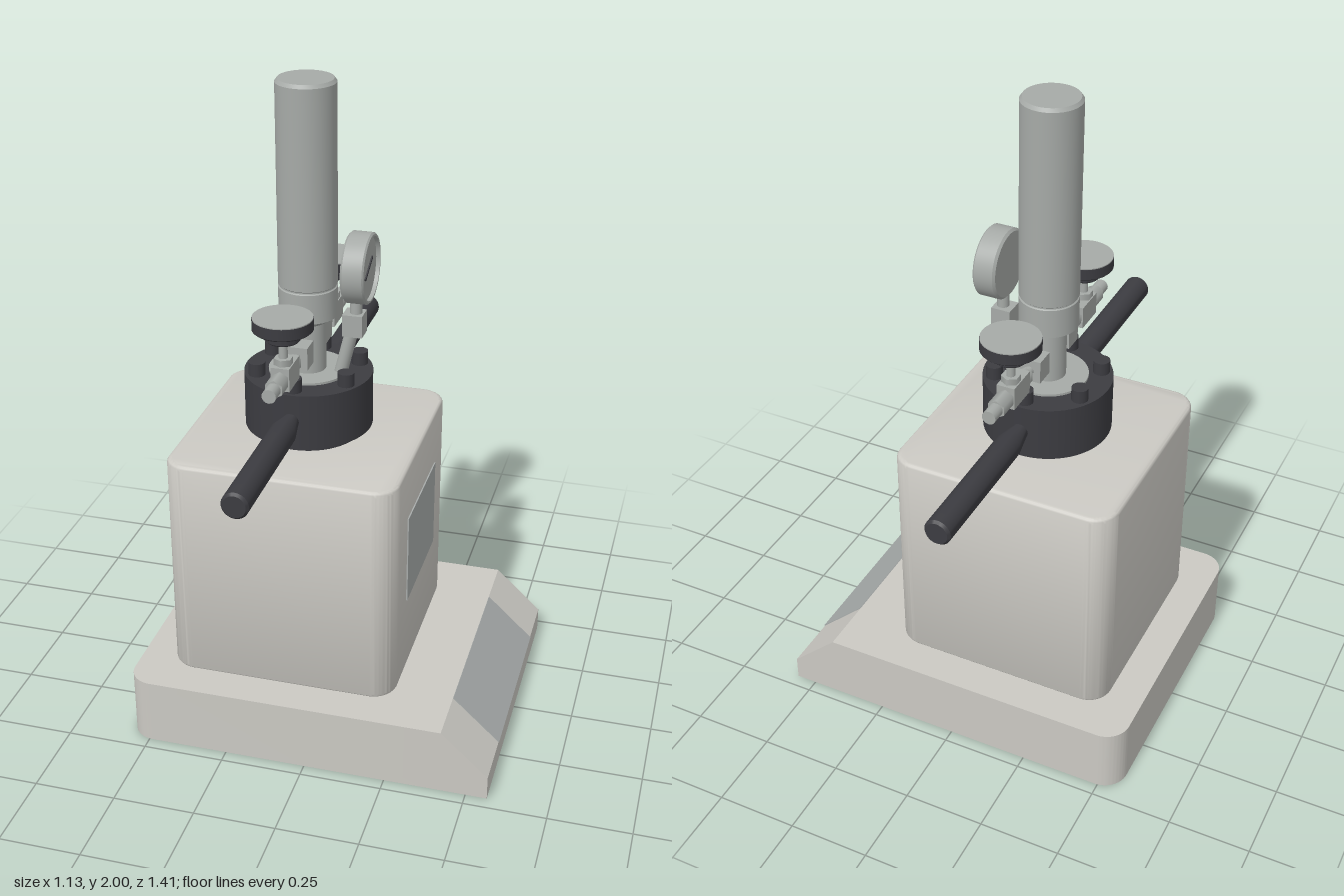
import * as THREE from 'three';
import { toCreasedNormals } from 'three/addons/utils/BufferGeometryUtils.js';

export function createModel() {
  const model = new THREE.Group();
  model.name = 'pressureStirrer';

  const paint = (name, color) => {
    const m = new THREE.MeshStandardMaterial({ color });
    m.name = name;
    return m;
  };
  const casing = paint('warm grey casing', 0xcbc9c3);
  const panel = paint('cool grey panel', 0xa8acab);
  const metal = paint('brushed metal', 0xa6aaa7);
  const dark = paint('dark grey', 0x3c3c41);

  const add = (parent, name, geo, mat, x = 0, y = 0, z = 0) => {
    const mesh = new THREE.Mesh(geo, mat);
    mesh.name = name;
    mesh.position.set(x, y, z);
    parent.add(mesh);
    return mesh;
  };
  const box = (w, h, d) => new THREE.BoxGeometry(w, h, d);
  const cyl = (r, h, n = 32) => new THREE.CylinderGeometry(r, r, h, n);
  const lathe = (pts, n = 48) =>
    toCreasedNormals(new THREE.LatheGeometry(pts.map(p => new THREE.Vector2(...p)), n), 0.6);

  // Rounded plan outline; right-hand corners use rr, left-hand corners use rl
  const plan = (x0, x1, d, rl, rr) => {
    const s = new THREE.Shape();
    s.moveTo(x0 + rl, -d);
    s.lineTo(x1 - rr, -d);
    if (rr) s.absarc(x1 - rr, -d + rr, rr, -Math.PI / 2, 0);
    else s.lineTo(x1, -d);
    s.lineTo(x1, d - rr);
    if (rr) s.absarc(x1 - rr, d - rr, rr, 0, Math.PI / 2);
    s.lineTo(x0 + rl, d);
    s.absarc(x0 + rl, d - rl, rl, Math.PI / 2, Math.PI);
    s.lineTo(x0, -d + rl);
    s.absarc(x0 + rl, -d + rl, rl, Math.PI, Math.PI * 1.5);
    return s;
  };
  const raise = (shape, opts) =>
    toCreasedNormals(new THREE.ExtrudeGeometry(shape, { curveSegments: 10, ...opts }).rotateX(-Math.PI / 2), 0.6);

  // Base with a sloping control edge
  add(model, 'base', raise(plan(-0.565, 0.42, 0.46, 0.075, 0), { depth: 0.21, bevelEnabled: false }), casing);
  const wedge = new THREE.Shape([[0.42, 0], [0.565, 0], [0.565, 0.075], [0.42, 0.21]].map(p => new THREE.Vector2(...p)));
  add(model, 'baseSlope', new THREE.ExtrudeGeometry(wedge, { depth: 0.92, bevelEnabled: false }), casing, 0, 0, -0.46);
  const slope = Math.atan2(0.135, 0.145);
  add(model, 'controlPanel', box(Math.hypot(0.135, 0.145), 0.006, 0.57), panel, 0.4925, 0.1425, 0)
    .rotation.z = -slope;

  // Heater housing with display
  const b = 0.015;
  add(model, 'housing', raise(plan(-0.46 + b, 0.245 - b, 0.3525 - b, 0.06, 0.06),
    { depth: 0.71 - 2 * b, bevelThickness: b, bevelSize: b, bevelSegments: 4 }), casing, 0, 0.21 + b, 0);
  add(model, 'display', box(0.008, 0.285, 0.36), panel, 0.245, 0.607, 0);

  // Vessel lid
  const head = new THREE.Group();
  head.name = 'vesselHead';
  head.position.x = -0.108;
  model.add(head);
  add(head, 'lidNeck', cyl(0.16, 0.03, 48), dark, 0, 0.932, 0);
  add(head, 'lid', cyl(0.193, 0.17, 64), dark, 0, 1.03, 0);
  add(head, 'lidPlate', cyl(0.12, 0.01, 48), metal, 0, 1.117, 0);
  for (let i = 0; i < 6; i++) {
    const a = Math.PI / 6 + i * Math.PI / 3;
    add(head, 'bolt', cyl(0.025, 0.045, 20), dark, 0.158 * Math.cos(a), 1.133, 0.158 * Math.sin(a));
  }

  // Stirrer drive column
  add(head, 'columnNeck', cyl(0.053, 0.18, 32), metal, 0, 1.2, 0);
  add(head, 'column', lathe([[0, 1.275], [0.057, 1.275], [0.0875, 1.295], [0.0875, 1.385], [0.084, 1.388],
    [0.084, 1.392], [0.0875, 1.395], [0.0875, 1.99], [0.08, 2], [0, 2]]), metal);

  // Handles and valves, one set on each side
  for (const side of [1, -1]) {
    const handle = add(head, 'handle', lathe([[0, 0.17], [0.025, 0.17], [0.025, 0.195], [0.04, 0.27],
      [0.04, 0.697], [0.033, 0.705], [0, 0.705]], 32), dark, 0, 1.03, 0);
    handle.rotation.x = side * Math.PI / 2;

    const valve = new THREE.Group();
    valve.name = 'valve';
    valve.position.y = 1.205;
    valve.rotation.y = side > 0 ? 0 : Math.PI;
    head.add(valve);
    const pipe = (name, r, z0, z1, n) =>
      add(valve, name, cyl(r, z1 - z0, n).rotateX(Math.PI / 2), metal, 0, 0, (z0 + z1) / 2);
    pipe('valvePipe', 0.014, 0.04, 0.2, 16);
    add(valve, 'valveBlock', box(0.07, 0.07, 0.063), metal, 0, 0, 0.1);
    pipe('valveNut', 0.026, 0.155, 0.187, 6);
    add(valve, 'valveBody', box(0.055, 0.07, 0.1), metal, 0, 0.003, 0.235);
    pipe('valveOutlet', 0.028, 0.28, 0.345, 6);
    pipe('valveTip', 0.021, 0.34, 0.39, 16);
    add(valve, 'valveCollar', cyl(0.028, 0.02, 6), metal, 0, 0.048, 0.25);
    add(valve, 'valveStem', cyl(0.013, 0.09, 16), metal, 0, 0.08, 0.25);
    add(valve, 'valveKnob', lathe([[0, 0.11], [0.045, 0.11], [0.05, 0.115], [0.05, 0.142], [0.082, 0.142],
      [0.0875, 0.147], [0.0875, 0.18], [0, 0.18]]), dark, 0, 0, 0.25);
    add(valve, 'knobCap', cyl(0.0865, 0.004, 48), metal, 0, 0.181, 0.25);
  }

  // Pressure gauge on a leaning pipe
  const gauge = new THREE.Group();
  gauge.name = 'pressureGauge';
  model.add(gauge);
  const lean = new THREE.LineCurve3(new THREE.Vector3(-0.01, 1.11, 0), new THREE.Vector3(0.027, 1.26, 0));
  add(gauge, 'gaugePipe', new THREE.TubeGeometry(lean, 1, 0.02, 20), metal);
  add(gauge, 'gaugeFitting', box(0.06, 0.068, 0.06), metal, 0.033, 1.279, 0);
  add(gauge, 'gaugeStem', cyl(0.018, 0.06, 20), metal, 0.038, 1.335, 0);
  add(gauge, 'gaugeCase', lathe([[0, 0], [0.098, 0], [0.105, 0.007], [0.105, 0.065], [0.1, 0.07],
    [0.094, 0.07], [0.094, 0.058], [0, 0.058]]), metal, 0.015, 1.455, 0).rotation.z = -Math.PI / 2;
  add(gauge, 'gaugeNeedle', box(0.004, 0.008, 0.09), dark, 0.075, 1.455, 0).rotation.x = 0.5;

  return model;
}
